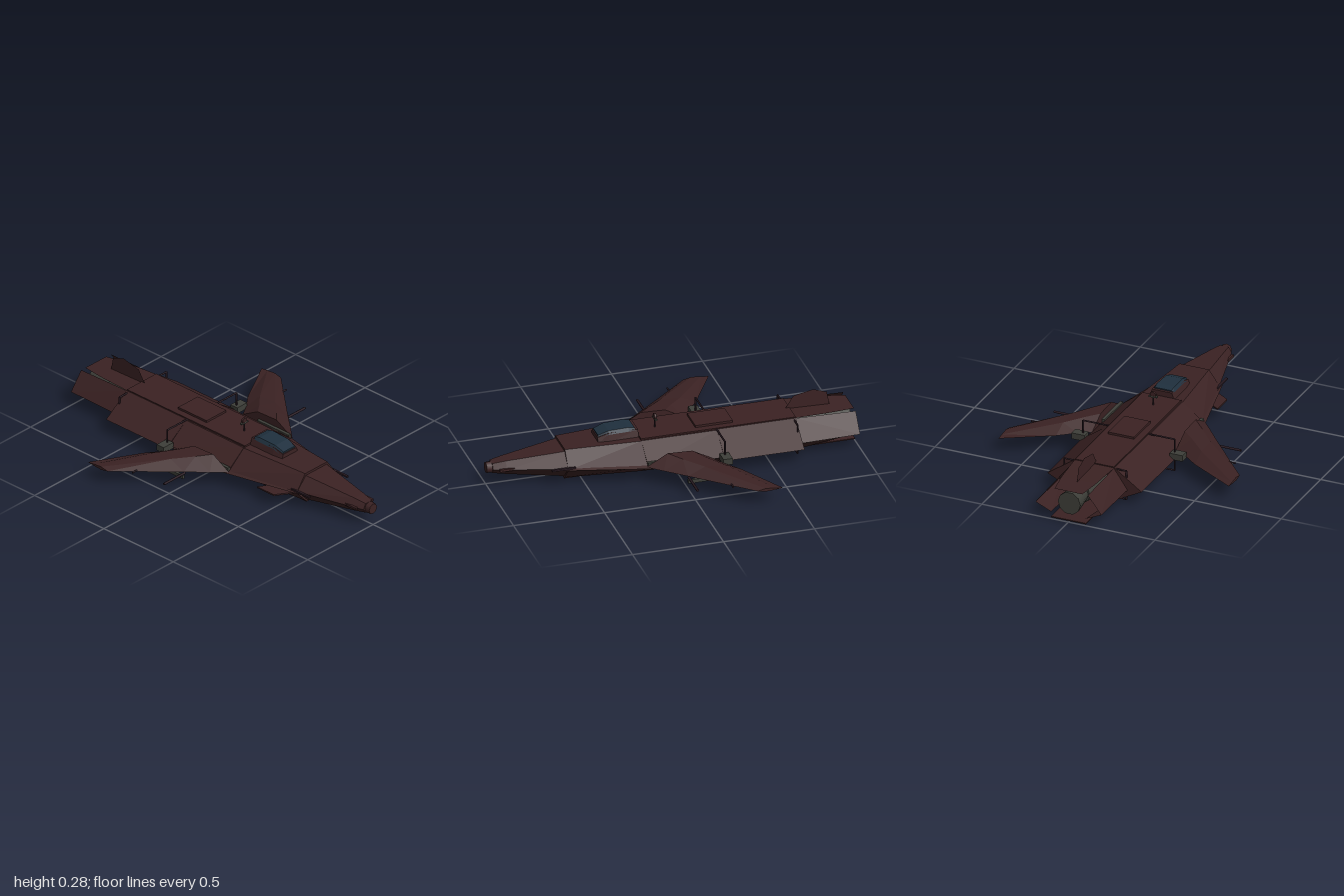
import * as THREE from 'three';

const mat = (name, color, side = THREE.FrontSide) =>
  Object.assign(new THREE.MeshStandardMaterial({ color, side }), { name });

// Flat-faced skin through rings of [x, y, z] points; flip reverses the facing
function loft(rings, { closed = true, caps = true, flip = false } = {}) {
  const out = [];
  const tri = (a, b, c) => out.push(...a, ...(flip ? c : b), ...(flip ? b : c));
  const n = rings[0].length;
  for (let r = 0; r < rings.length - 1; r++) {
    for (let i = 0; i < (closed ? n : n - 1); i++) {
      const j = (i + 1) % n, p = rings[r], q = rings[r + 1];
      tri(p[i], q[i], q[j]);
      tri(p[i], q[j], p[j]);
    }
  }
  if (caps) {
    const s = rings[0], e = rings[rings.length - 1];
    for (let i = 1; i < n - 1; i++) {
      tri(s[0], s[i], s[i + 1]);
      tri(e[0], e[i + 1], e[i]);
    }
  }
  const g = new THREE.BufferGeometry();
  g.setAttribute('position', new THREE.Float32BufferAttribute(out, 3));
  g.computeVertexNormals();
  return g;
}

// Six-sided hull section: top, middle and bottom half-widths with heights
const hex = (x, tw, ty, mw, my, bw, by) => [
  [x, ty, tw], [x, ty, -tw], [x, my, -mw], [x, by, -bw], [x, by, bw], [x, my, mw]];

export function createModel() {
  const root = new THREE.Group();
  root.name = 'spacecraft';
  // Double-sided because the stern panels and fin are open sheets
  const hull = mat('hullMaroon', 0x3b2223, THREE.DoubleSide);
  const dark = mat('darkRod', 0x2a1b23);
  const grey = mat('metalGrey', 0x3e3f39);
  const glass = mat('canopyGlass', 0x1f303e);

  const add = (name, geo, m, x = 0, y = 0, z = 0) => {
    const mesh = new THREE.Mesh(geo, m);
    mesh.name = name;
    mesh.position.set(x, y, z);
    root.add(mesh);
    return mesh;
  };
  // Box given by its limits on each axis
  const box = (name, m, x0, x1, y0, y1, z0, z1) => add(name,
    new THREE.BoxGeometry(x1 - x0, y1 - y0, Math.abs(z1 - z0)), m,
    (x0 + x1) / 2, (y0 + y1) / 2, (z0 + z1) / 2);
  // Thin rod between two points
  const rod = (name, a, b, m, r = 0.006) => {
    const p = new THREE.Vector3(...a), q = new THREE.Vector3(...b);
    const mesh = add(name, new THREE.CylinderGeometry(r, r, p.distanceTo(q), 6), m);
    mesh.position.copy(p).add(q).multiplyScalar(0.5);
    mesh.quaternion.setFromUnitVectors(new THREE.Vector3(0, 1, 0), q.sub(p).normalize());
  };

  // Hull sections from stern to nose
  add('aftHull', loft([
    hex(-0.67, 0.115, 0.195, 0.272, 0.085, 0.13, 0.012),
    hex(-0.235, 0.115, 0.195, 0.272, 0.085, 0.13, 0.012)]), hull);
  add('midHull', loft([
    hex(-0.235, 0.12, 0.192, 0.25, 0.095, 0.13, 0.014),
    hex(0.18, 0.12, 0.192, 0.245, 0.095, 0.12, 0.014)]), hull);
  add('foreHull', loft([
    hex(0.18, 0.12, 0.19, 0.235, 0.095, 0.12, 0.014),
    hex(0.59, 0.085, 0.185, 0.15, 0.095, 0.08, 0.018)]), hull);
  add('nose', loft([
    hex(0.59, 0.08, 0.172, 0.145, 0.1, 0.07, 0.022),
    hex(0.9, 0.035, 0.14, 0.062, 0.1, 0.03, 0.062),
    hex(0.97, 0.025, 0.13, 0.042, 0.1, 0.022, 0.074)]), hull);
  add('noseTip', new THREE.CylinderGeometry(0.03, 0.034, 0.06, 8), hull, 0.97, 0.1, 0)
    .rotation.z = -Math.PI / 2;

  // Raised spine plate, hatch and belly plates
  box('spinePlate', hull, -0.67, 0.18, 0.19, 0.2, -0.112, 0.112);
  box('hatch', hull, -0.335, -0.13, 0.2, 0.212, -0.075, 0.075);
  box('bellyPlate', hull, -0.67, -0.235, 0.004, 0.014, -0.1, 0.1);
  box('foreBellyPlate', hull, 0.18, 0.59, 0.01, 0.022, -0.075, 0.075);

  // Open stern shroud
  const open = { closed: false, caps: false };
  add('sternTopPlate', loft([
    [[-1, 0.185, 0.08], [-1, 0.185, -0.08]],
    [[-0.87, 0.19, 0.1], [-0.87, 0.19, -0.1]],
    [[-0.67, 0.195, 0.115], [-0.67, 0.195, -0.115]]], open), hull);
  box('sternBottomPlate', hull, -1, -0.64, 0.012, 0.018, -0.1, 0.1);
  for (const s of [1, -1]) {
    add('sternSidePanel', loft([
      [[-1, 0.045, s * 0.1], [-1, 0.085, s * 0.19], [-1, 0.185, s * 0.112]],
      [[-0.67, 0.012, s * 0.12], [-0.67, 0.08, s * 0.19], [-0.67, 0.192, s * 0.112]]],
    { ...open, flip: s < 0 }), hull);
  }
  add('engineCore', new THREE.CylinderGeometry(0.06, 0.085, 0.2, 10), grey, -0.76, 0.11, 0)
    .rotation.z = Math.PI / 2;
  add('engineNozzle', new THREE.CylinderGeometry(0.065, 0.05, 0.14, 10), grey, -0.92, 0.11, 0)
    .rotation.z = Math.PI / 2;

  // Tail fin, a thin sheet on the centre line
  const fin = new THREE.Shape([[-0.89, 0.185], [-0.645, 0.195], [-0.69, 0.265], [-0.8, 0.288], [-0.875, 0.262]]
    .map(p => new THREE.Vector2(...p)));
  add('tailFin', new THREE.ShapeGeometry(fin), hull);

  // Canopy
  const deck = (x, w, y0, y1) => [[x, y1, w * 0.8], [x, y1, -w * 0.8], [x, y0, -w], [x, y0, w]];
  add('canopyFrame', loft([
    deck(0.18, 0.072, 0.185, 0.23), deck(0.34, 0.07, 0.18, 0.23), deck(0.4, 0.064, 0.175, 0.21)]), hull);
  add('canopyGlass', loft([
    deck(0.195, 0.06, 0.225, 0.236), deck(0.23, 0.062, 0.225, 0.244),
    deck(0.34, 0.06, 0.222, 0.24), deck(0.395, 0.054, 0.2, 0.22)]), glass);

  // Antenna mast with a small head
  rod('antennaMast', [0.07, 0.195, 0], [0.07, 0.255, 0], dark, 0.004);
  box('antennaBar', grey, 0.063, 0.077, 0.246, 0.254, -0.025, 0.025);
  add('antennaHead', new THREE.CylinderGeometry(0.017, 0.017, 0.012, 10), hull, 0.07, 0.262, 0)
    .rotation.z = Math.PI / 2;

  // Rectangular hoops around the hull
  const hoop = (x, z, y0, y1) => {
    rod('hoopTop', [x, y1, -z], [x, y1, z], dark, 0.005);
    rod('hoopBottom', [x, y0, -z], [x, y0, z], dark, 0.005);
    for (const s of [1, -1]) rod('hoopSide', [x, y0, s * z], [x, y1, s * z], dark, 0.005);
  };
  hoop(-0.235, 0.265, 0.012, 0.194);
  hoop(-0.66, 0.18, 0.02, 0.186);

  // Wing section: rear edge, two upper ridges, front edge, two lower ridges
  const rib = (z, te, le, lo, mid, hi) => {
    const at = t => te + (le - te) * t;
    return [[te, mid, z], [at(0.3), hi - 0.005, z], [at(0.68), hi, z],
      [le, mid, z], [at(0.68), lo, z], [at(0.3), lo + 0.004, z]];
  };
  for (const s of [1, -1]) {
    add('wing', loft([
      rib(s * 0.243, -0.17, 0.19, 0.06, 0.098, 0.163),
      rib(s * 0.31, -0.21, 0.115, 0.064, 0.097, 0.152),
      rib(s * 0.4, -0.28, 0.01, 0.068, 0.095, 0.138),
      rib(s * 0.665, -0.43, -0.29, 0.083, 0.092, 0.102)], { flip: s < 0 }), hull);

    // Strake running from the wing root up to the nose
    add('wingStrake', loft([
      [[0.16, 0.115, s * 0.2], [0.16, 0.09, s * 0.255], [0.16, 0.075, s * 0.2]],
      [[0.62, 0.105, s * 0.12], [0.62, 0.095, s * 0.15], [0.62, 0.085, s * 0.12]]],
    { flip: s > 0 }), hull);

    // Wing root fittings, underwing pylon and side rods
    box('wingRootBar', grey, -0.05, 0.18, 0.1, 0.12, s * 0.225, s * 0.242);
    box('wingHinge', grey, -0.26, -0.21, 0.085, 0.12, s * 0.245, s * 0.32);
    box('underwingPylon', grey, -0.1, 0.01, 0.055, 0.075, s * 0.393, s * 0.407);
    rod('sideRod', [0, 0.078, s * 0.38], [0, 0.078, s * 0.54], dark, 0.007);
    rod('wingPost', [-0.18, 0.096, s * 0.53], [-0.18, 0.096, s * 0.59], dark, 0.005);

    // Nose rails
    box('noseRail', dark, 0.55, 0.68, 0.098, 0.108, s * 0.14, s * 0.152);
    box('tipRail', hull, 0.86, 0.94, 0.095, 0.108, s * 0.055, s * 0.068);
  }

  // Single small canard on the left flank
  const canard = [[0.38, 0.23], [0.5, 0.23], [0.56, 0.14], [0.42, 0.16]];
  add('canard', loft([0.075, 0.083].map(y => canard.map(([x, z]) => [x, y, z]))), hull);
  return root;
}
